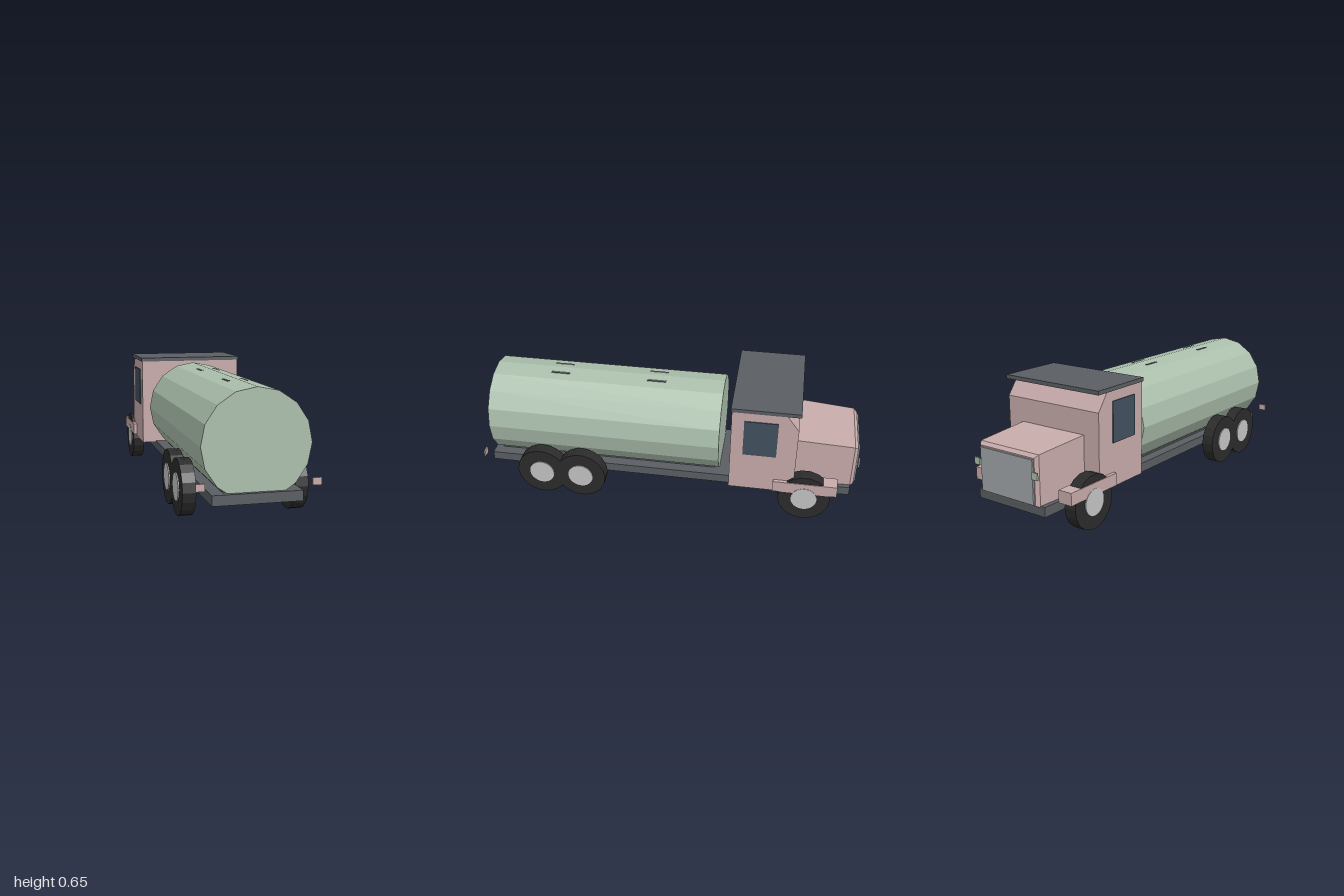
import * as THREE from 'three';

export function createModel() {
  const truck = new THREE.Group();
  truck.name = 'tankTruck';

  const mat = (name, color) => {
    const m = new THREE.MeshStandardMaterial({ color, flatShading: true });
    m.name = name;
    return m;
  };
  const pink = mat('dusty pink paint', 0xc8abab);
  const green = mat('pale green tank', 0xabbfac);
  const grey = mat('dark grey frame', 0x5a5e62);
  const rubber = mat('tyre rubber', 0x2b2b2b);
  const hubGrey = mat('hub grey', 0xc4c4c4);
  const grilleGrey = mat('grille grey', 0xa0a5a7);
  const glass = mat('window glass', 0x41505e);

  const add = (name, geometry, material) => {
    const mesh = new THREE.Mesh(geometry, material);
    mesh.name = name;
    truck.add(mesh);
    return mesh;
  };
  // Box given by its lower and upper limits on each axis
  const box = (name, [x0, x1], [y0, y1], [z0, z1], material) => {
    const mesh = add(name, new THREE.BoxGeometry(x1 - x0, y1 - y0, z1 - z0), material);
    mesh.position.set((x0 + x1) / 2, (y0 + y1) / 2, (z0 + z1) / 2);
    return mesh;
  };
  // The same box on both sides of the truck
  const pair = (name, [x0, x1], y, z, material) => {
    box(name + 'Left', [x0, x1], y, z, material);
    box(name + 'Right', [-x1, -x0], y, z, material);
  };

  // Chassis and the saddle under the tank
  box('chassis', [-0.208, 0.208], [0.115, 0.163], [-0.968, 0.98], grey);
  box('tankSaddle', [-0.15, 0.15], [0.155, 0.172], [-0.25, 0.94], grey);

  // Sixteen-sided tank with a vertex line on top
  const tank = add('tank', new THREE.CylinderGeometry(0.253, 0.253, 1.235, 16).rotateX(Math.PI / 2), green);
  tank.position.set(0, 0.372, 0.3425);
  for (const z of [0.083, 0.602]) {
    box('tankHatch', [-0.05, 0.05], [0.59, 0.618], [z - 0.05, z + 0.05], grey);
  }

  // Cab: side profile (forward, up) extruded across the width
  const profile = new THREE.Shape([
    [0.337, 0.157], [0.674, 0.157], [0.674, 0.545], [0.61, 0.632], [0.337, 0.632],
  ].map(([f, y]) => new THREE.Vector2(f, y)));
  const cabGeometry = new THREE.ExtrudeGeometry(profile, { depth: 0.568, bevelEnabled: false });
  cabGeometry.translate(0, 0, -0.284).rotateY(Math.PI / 2);
  add('cab', cabGeometry, pink);
  box('roof', [-0.289, 0.289], [0.63, 0.65], [-0.68, -0.332], grey);
  pair('sideWindow', [0.282, 0.289], [0.376, 0.58], [-0.572, -0.401], glass);

  // Hood: box with three rows of corners, narrowing to a chamfered nose
  const sections = [
    { z: -0.985, w: 0.168, y0: 0.165, y1: 0.39 },
    { z: -0.968, w: 0.182, y0: 0.157, y1: 0.405 },
    { z: -0.66, w: 0.194, y0: 0.157, y1: 0.426 },
  ];
  const hoodGeometry = new THREE.BoxGeometry(2, 2, 2, 1, 1, 2);
  const p = hoodGeometry.attributes.position;
  for (let i = 0; i < p.count; i++) {
    const s = sections[Math.round(p.getZ(i)) + 1];
    p.setXYZ(i, Math.sign(p.getX(i)) * s.w, p.getY(i) > 0 ? s.y1 : s.y0, s.z);
  }
  hoodGeometry.computeVertexNormals();
  add('hood', hoodGeometry, pink);
  box('grille', [-0.162, 0.162], [0.17, 0.384], [-0.993, -0.984], grilleGrey);

  // Lamps and front fenders
  pair('headlight', [0.164, 0.197], [0.295, 0.33], [-1, -0.992], green);
  pair('tailLight', [0.243, 0.285], [0.188, 0.222], [0.992, 1], pink);
  pair('frontFender', [0.228, 0.303], [0.168, 0.23], [-0.898, -0.567], pink);

  // Wheels: tyre with a hub disc on the outer face
  const tyreGeometry = new THREE.CylinderGeometry(0.135, 0.135, 0.064, 18).rotateZ(Math.PI / 2);
  const hubGeometry = new THREE.CylinderGeometry(0.067, 0.067, 0.02, 24).rotateZ(Math.PI / 2);
  for (const [axle, z] of [['front', -0.733], ['middle', 0.46], ['rear', 0.674]]) {
    for (const side of [1, -1]) {
      const label = axle + (side > 0 ? 'Left' : 'Right');
      add(label + 'Tyre', tyreGeometry, rubber).position.set(side * 0.267, 0.135, z);
      add(label + 'Hub', hubGeometry, hubGrey).position.set(side * 0.2945, 0.135, z);
    }
  }

  return truck;
}
